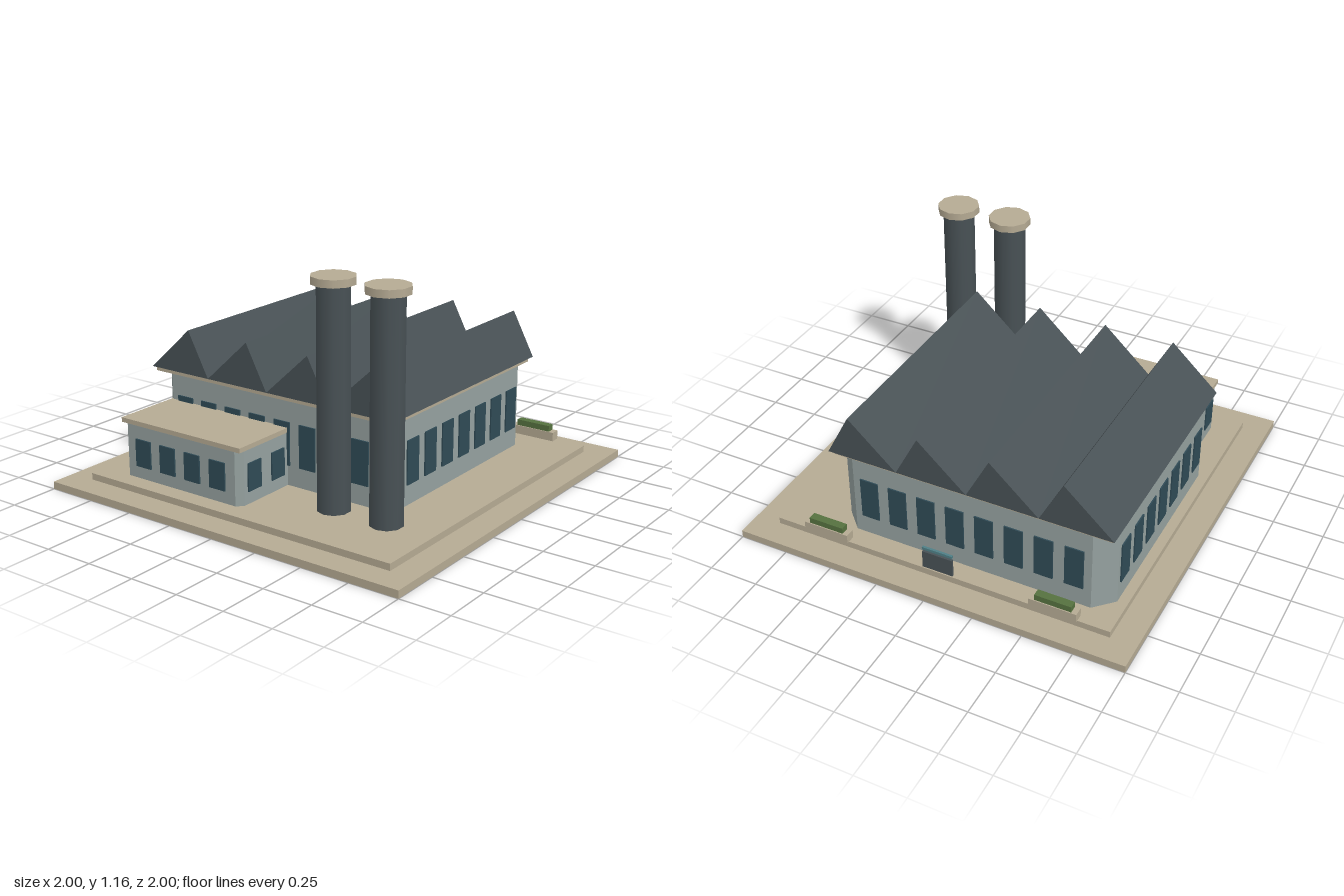
import * as THREE from 'three';

const mat = (color) => new THREE.MeshStandardMaterial({ color });

export function createModel() {
  const model = new THREE.Group();
  const stone = mat(0xb5aa93), wall = mat(0x95a19f), slate = mat(0x485155);
  const glass = mat(0x2f4a55), hedge = mat(0x55713f), teal = mat(0x4f7f86);

  const add = (name, geometry, material, x = 0, y = 0, z = 0, parent = model) => {
    const mesh = new THREE.Mesh(geometry, material);
    mesh.name = name;
    mesh.position.set(x, y, z);
    parent.add(mesh);
    return mesh;
  };
  // box given by its limits
  const box = (name, material, x0, x1, y0, y1, z0, z1, parent) =>
    add(name, new THREE.BoxGeometry(x1 - x0, y1 - y0, z1 - z0), material,
      (x0 + x1) / 2, (y0 + y1) / 2, (z0 + z1) / 2, parent);

  // upright block with cut corners
  const cutBlock = (name, x0, x1, y0, y1, z0, z1, cut) => {
    const a = (x1 - x0) / 2, b = (z1 - z0) / 2;
    const shape = new THREE.Shape([
      [-a + cut, -b], [a - cut, -b], [a, -b + cut], [a, b - cut],
      [a - cut, b], [-a + cut, b], [-a, b - cut], [-a, -b + cut],
    ].map(([x, y]) => new THREE.Vector2(x, y)));
    const g = new THREE.ExtrudeGeometry(shape, { depth: y1 - y0, bevelEnabled: false });
    g.rotateX(-Math.PI / 2);
    return add(name, g, wall, (x0 + x1) / 2, y0, (z0 + z1) / 2);
  };

  // evenly spaced thin window panels along x or z
  const windowRow = (name, axis, count, first, step, face, y, height) => {
    const row = new THREE.Group();
    row.name = name;
    for (let i = 0; i < count; i++) {
      const p = first + i * step;
      if (axis === 'x') add('window', new THREE.BoxGeometry(0.093, height, 0.014), glass, p, y, face, row);
      else add('window', new THREE.BoxGeometry(0.014, height, 0.093), glass, face, y, p, row);
    }
    model.add(row);
  };

  // stepped ground slabs
  box('groundSlab', stone, -1, 1, 0, 0.037, -1, 1);
  box('upperSlab', stone, -0.87, 0.87, 0.037, 0.07, -0.87, 0.87);

  // main hall
  cutBlock('hallWalls', -0.82, 0.58, 0.07, 0.49, -0.768, 0.432, 0.09);
  box('hallCornice', stone, -0.825, 0.585, 0.49, 0.512, -0.773, 0.44);
  windowRow('hallFrontWindows', 'x', 8, -0.645, 0.15, 0.432, 0.278, 0.215);
  windowRow('hallBackWindows', 'x', 8, -0.645, 0.15, -0.768, 0.278, 0.215);
  windowRow('hallLeftWindows', 'z', 7, -0.61, 0.147, 0.58, 0.278, 0.215);
  windowRow('hallRightWindows', 'z', 7, -0.61, 0.147, -0.82, 0.278, 0.215);

  // sawtooth roof
  const tooth = new THREE.Shape([
    new THREE.Vector2(0, 0), new THREE.Vector2(0.36, 0), new THREE.Vector2(0.242, 0.223),
  ]);
  const toothGeometry = new THREE.ExtrudeGeometry(tooth, { depth: 1.247, bevelEnabled: false });
  for (let i = 0; i < 4; i++) add('roofTooth', toothGeometry, slate, -0.84 + i * 0.36, 0.512, -0.793);

  // low front annex
  cutBlock('annexWalls', -0.735, -0.013, 0.07, 0.335, 0.4, 0.78, 0.03);
  box('annexRoof', stone, -0.739, -0.009, 0.335, 0.358, 0.4, 0.784);
  windowRow('annexFrontWindows', 'x', 4, -0.605, 0.153, 0.781, 0.2, 0.137);
  windowRow('annexLeftWindows', 'z', 2, 0.51, 0.17, -0.013, 0.2, 0.137);
  windowRow('annexRightWindows', 'z', 2, 0.51, 0.17, -0.735, 0.2, 0.137);

  // chimneys
  for (const x of [0.337, 0.625]) {
    add('chimneyShaft', new THREE.CylinderGeometry(0.08, 0.08, 1.06, 10), slate, x, 0.6, 0.541);
    add('chimneyCap', new THREE.CylinderGeometry(0.105, 0.105, 0.036, 10), stone, x, 1.141, 0.541);
  }

  // planters with hedges behind the hall
  for (const x of [-0.593, 0.593]) {
    box('planter', stone, x - 0.118, x + 0.118, 0.07, 0.115, -0.883, -0.833);
    box('hedge', hedge, x - 0.091, x + 0.091, 0.115, 0.145, -0.878, -0.838);
  }

  // small board at the back
  box('backBoard', slate, -0.078, 0.078, 0.07, 0.162, -0.864, -0.852);
  box('backBoardBar', teal, -0.078, 0.078, 0.174, 0.188, -0.864, -0.852);

  return model;
}
